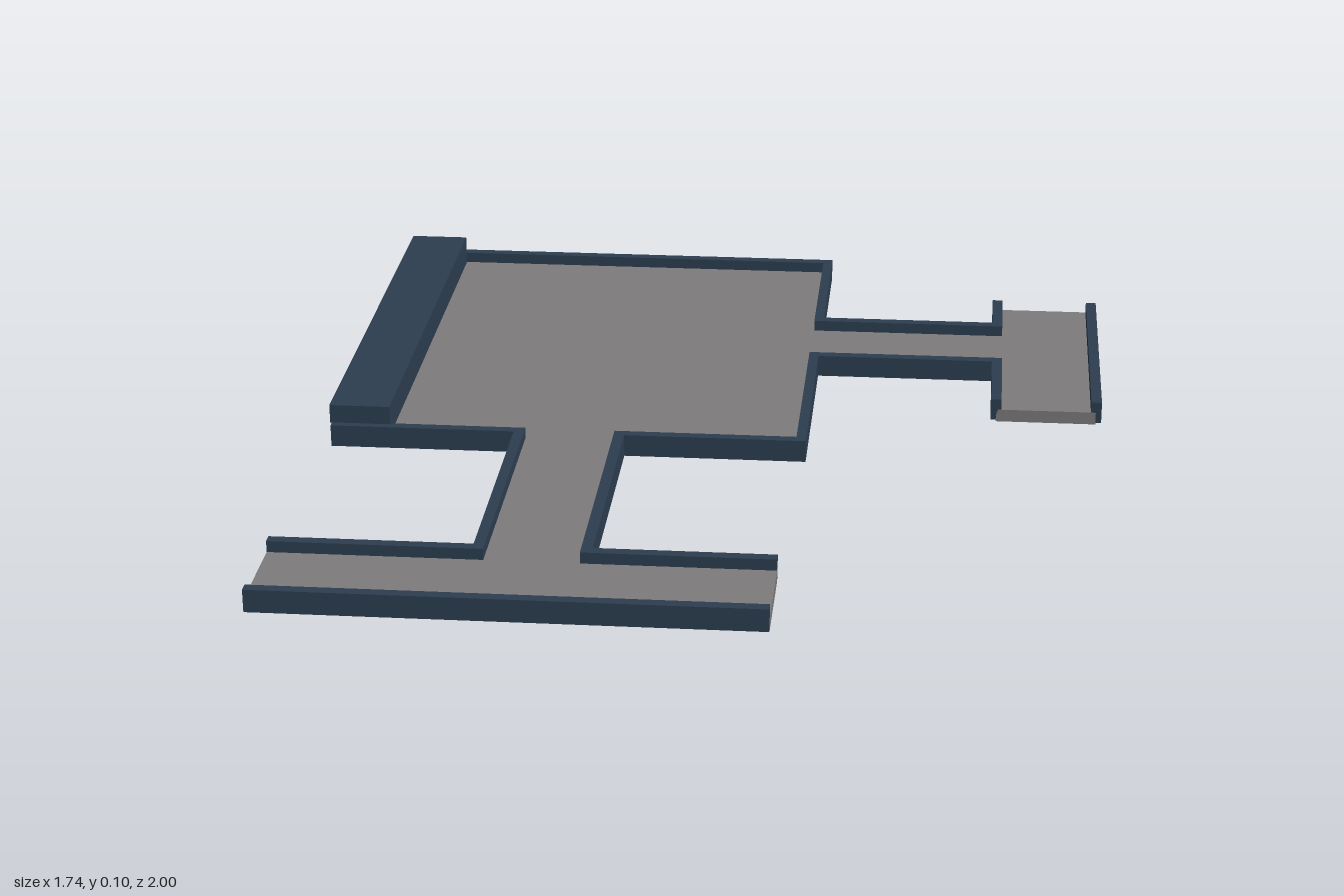
import * as THREE from 'three';

export function createModel() {
  const model = new THREE.Group();
  const floorGrey = new THREE.MeshStandardMaterial({ color: 0x7f7b7d });
  floorGrey.name = 'warm grey floor';
  const wallBlue = new THREE.MeshStandardMaterial({ color: 0x2c3e50 });
  wallBlue.name = 'dark slate wall';

  // Box given by its limits on each axis
  function slab(name, x0, x1, y0, y1, z0, z1, parent) {
    const mesh = new THREE.Mesh(new THREE.BoxGeometry(x1 - x0, y1 - y0, z1 - z0), wallBlue);
    mesh.position.set((x0 + x1) / 2, (y0 + y1) / 2, (z0 + z1) / 2);
    mesh.name = name;
    parent.add(mesh);
  }

  // Floor: one slab for the room and both T-shaped corridors, reaching under the walls
  const outline = [
    [-0.843, -0.988], [0.199, -0.988], [0.199, -0.587], [0.63, -0.587],
    [0.63, -0.75], [0.857, -0.75], [0.857, -0.118], [0.63, -0.118],
    [0.63, -0.361], [0.199, -0.361], [0.199, 0.145], [-0.207, 0.145],
    [-0.207, 0.755], [0.187, 0.755], [0.187, 0.984], [-0.873, 0.984],
    [-0.873, 0.755], [-0.432, 0.755], [-0.432, 0.145], [-0.843, 0.145],
  ].map(([x, z]) => new THREE.Vector2(x, z));
  const floorGeometry = new THREE.ExtrudeGeometry(new THREE.Shape(outline), { depth: 0.029, bevelEnabled: false });
  floorGeometry.rotateX(Math.PI / 2).translate(0, 0.029, 0);
  const floor = new THREE.Mesh(floorGeometry, floorGrey);
  floor.name = 'floor';
  model.add(floor);

  // Low walls: name, x range, z range
  const walls = new THREE.Group();
  walls.name = 'walls';
  model.add(walls);
  [
    ['roomBackWall', -0.857, 0.21, -1, -0.976],
    ['roomLeftHandWall', -0.857, -0.833, -1, 0.157],
    ['roomSideWallBack', 0.188, 0.21, -1, -0.574],
    ['roomSideWallFront', 0.188, 0.21, -0.372, 0.157],
    ['roomFrontWallLong', -0.857, -0.42, 0.134, 0.157],
    ['roomFrontWallShort', -0.219, 0.21, 0.134, 0.157],
    ['sideCorridorWallBack', 0.188, 0.642, -0.598, -0.574],
    ['sideCorridorWallFront', 0.188, 0.642, -0.372, -0.348],
    ['sideCrossInnerWallBack', 0.618, 0.642, -0.75, -0.574],
    ['sideCrossInnerWallFront', 0.618, 0.642, -0.372, -0.118],
    ['sideCrossOuterWall', 0.846, 0.87, -0.75, -0.118],
    ['frontCorridorWallA', -0.443, -0.42, 0.134, 0.767],
    ['frontCorridorWallB', -0.219, -0.195, 0.134, 0.767],
    ['frontCrossInnerWallA', -0.873, -0.42, 0.743, 0.767],
    ['frontCrossInnerWallB', -0.219, 0.187, 0.743, 0.767],
    ['frontCrossOuterWall', -0.873, 0.187, 0.972, 0.996],
  ].forEach(([name, x0, x1, z0, z1]) => slab(name, x0, x1, 0.004, 0.054, z0, z1, walls));

  // Raised platform along one side of the room
  slab('platform', -0.861, -0.725, 0.054, 0.096, -0.975, 0.14, model);
  slab('platformBase', -0.84, -0.725, 0.02, 0.054, -0.98, 0.14, model);

  return model;
}
